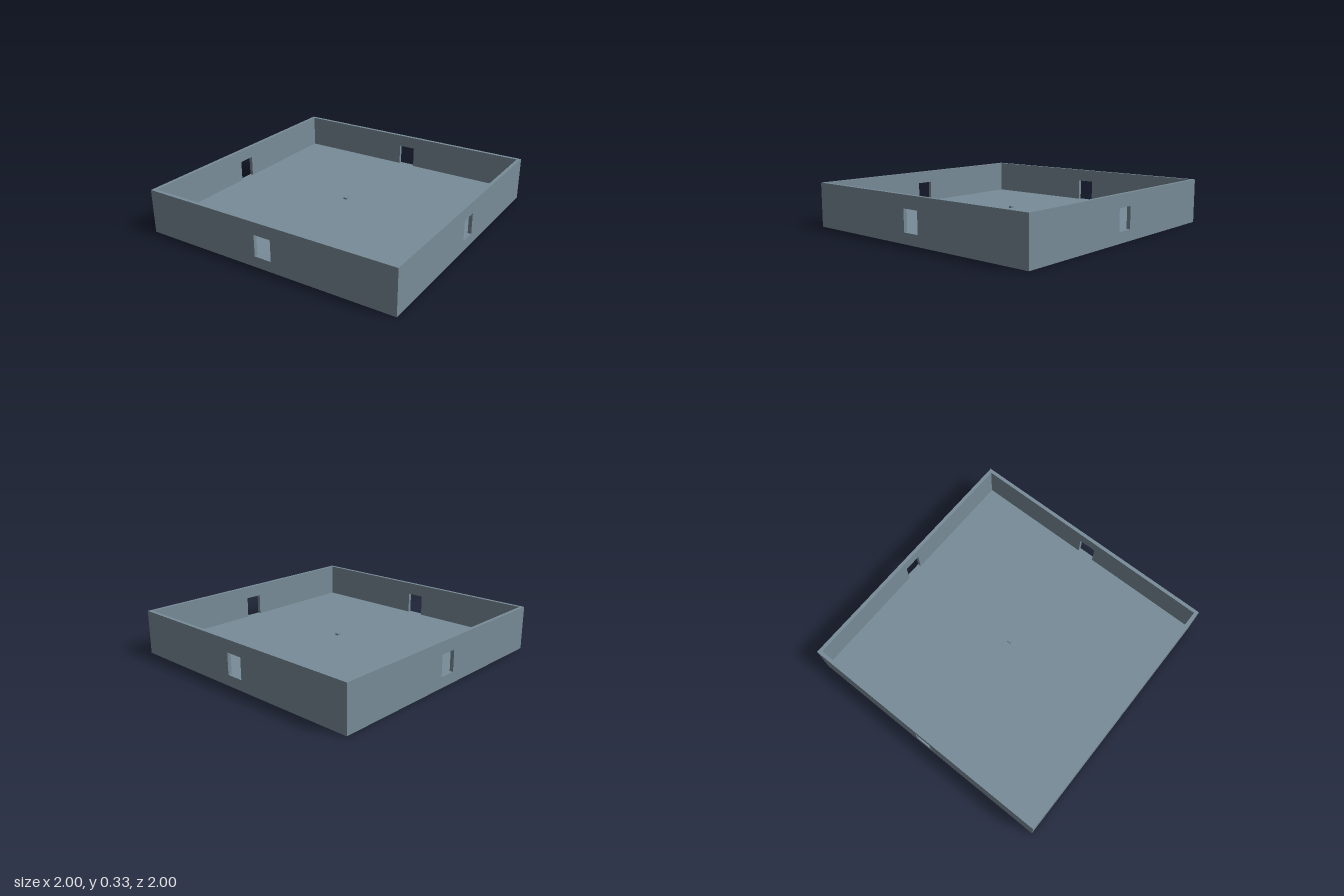
import * as THREE from 'three';

const HEIGHT = 0.333;    // overall height
const FLOOR = 0.08;      // slab thickness
const WALL = 0.027;      // wall thickness
const DOOR_HALF = 0.067; // half doorway width
const DOOR_TOP = 0.24;

// Upright wall with a doorway notch that reaches down to the slab
function wallGeometry(length) {
  const h = length / 2;
  const outline = [
    [-h, FLOOR], [-DOOR_HALF, FLOOR], [-DOOR_HALF, DOOR_TOP], [DOOR_HALF, DOOR_TOP],
    [DOOR_HALF, FLOOR], [h, FLOOR], [h, HEIGHT], [-h, HEIGHT],
  ].map(([x, y]) => new THREE.Vector2(x, y));
  const geometry = new THREE.ExtrudeGeometry(new THREE.Shape(outline), {
    depth: WALL, bevelEnabled: false,
  });
  return geometry.translate(0, 0, 1 - WALL);
}

export function createModel() {
  const model = new THREE.Group();
  model.name = 'walledCourtyard';
  const slate = new THREE.MeshStandardMaterial({ color: 0x788c98 });
  slate.name = 'slate grey';

  const add = (name, geometry) => {
    const mesh = new THREE.Mesh(geometry, slate);
    mesh.name = name;
    model.add(mesh);
    return mesh;
  };

  // Floor slab
  add('floor', new THREE.BoxGeometry(2, FLOOR, 2)).position.y = FLOOR / 2;

  // Four walls; the side walls fit between the front and back ones
  const longWall = wallGeometry(2);
  const shortWall = wallGeometry(2 - 2 * WALL);
  ['frontWall', 'leftWall', 'backWall', 'rightWall'].forEach((name, i) => {
    add(name, i % 2 ? shortWall : longWall).rotation.y = i * Math.PI / 2;
  });

  // Small block hovering over the middle of the floor
  add('centreBlock', new THREE.BoxGeometry(0.027, 0.0133, 0.027)).position.y = 0.1345;

  return model;
}
